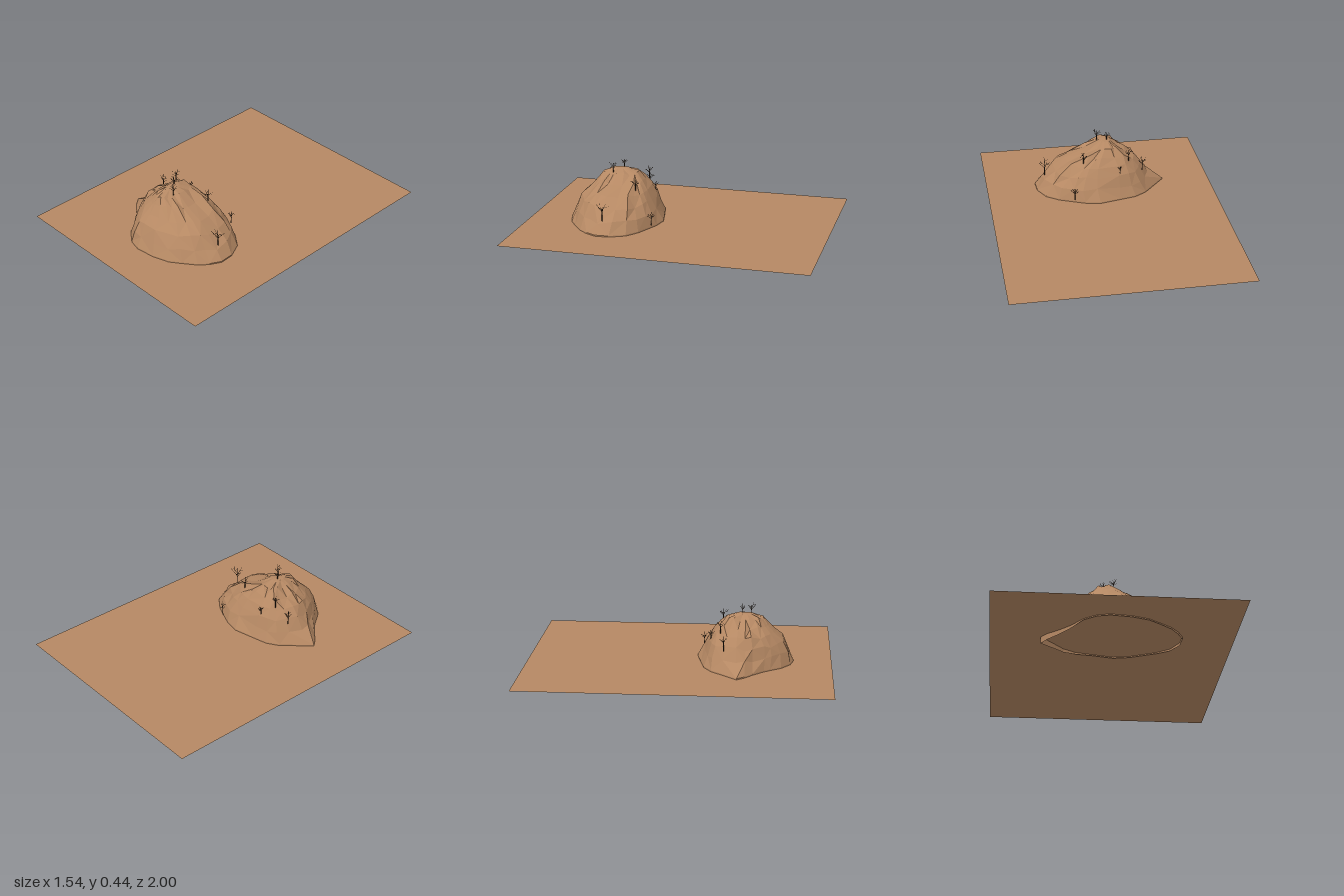
import * as THREE from 'three';

const EARTH = 0xb58863, BARK = 0x3a2b1e;
const GROUND_Y = 0.05;

// Footprint of the hill as [x, z], from the left-hand spur round the back
const FOOT = [
  [-0.45, 0.39], [-0.37, 0.30], [-0.30, 0.22], [-0.22, 0.17], [-0.11, 0.145], [0.03, 0.115],
  [0.13, 0.135], [0.20, 0.165], [0.30, 0.21], [0.38, 0.27], [0.43, 0.37], [0.435, 0.46],
  [0.40, 0.53], [0.35, 0.59], [0.27, 0.65], [0.20, 0.70], [0.09, 0.735], [-0.04, 0.75],
  [-0.12, 0.73], [-0.20, 0.67], [-0.25, 0.60], [-0.28, 0.56], [-0.35, 0.49], [-0.41, 0.44],
];
// Contours: height, min x, max x, min z, max z
const LEVELS = [
  [0.13, -0.35, 0.38, 0.155, 0.72],
  [0.20, -0.295, 0.31, 0.19, 0.685],
  [0.26, -0.25, 0.225, 0.23, 0.625],
  [0.31, -0.18, 0.11, 0.27, 0.58],
  [0.35, -0.12, 0.02, 0.31, 0.55],
  [0.378, -0.08, -0.03, 0.38, 0.48],
];
const PEAK = [-0.055, 0.43];

function seeded(seed) {
  let s = seed;
  return () => (s = (s * 16807) % 2147483647) / 2147483647;
}

function material(color, extra = {}) {
  return new THREE.MeshStandardMaterial({ color, ...extra });
}

// Lower rim dips under the spur and a little at the right end
function rimY(x) {
  if (x < -0.2) return 0.04 - 0.14 * (-0.2 - x);
  return x > 0.3 ? 0.045 - 0.11 * (x - 0.3) : 0.042;
}

function contour([y, x0, x1, z0, z1], k, rand) {
  const fade = Math.min(1, 0.4 + k * 0.2);
  return FOOT.map(([fx, fz]) => {
    const dx = fx - PEAK[0], dz = fz - PEAK[1];
    // footprint shape scaled to this level
    const u = dx / (dx < 0 ? 0.395 : 0.49), v = dz / (dz < 0 ? 0.315 : 0.32);
    // rounded shape: full shoulders at the back, sloping at the front
    const a = Math.atan2(v, u), p = dz < 0 ? 0.65 : 1.05;
    const cu = Math.sign(u) * Math.abs(Math.cos(a)) ** p;
    const cv = Math.sign(v) * Math.abs(Math.sin(a)) ** p;
    const mu = THREE.MathUtils.lerp(u, cu, fade), mv = THREE.MathUtils.lerp(v, cv, fade);
    const j = 0.97 + rand() * 0.06;
    return [
      PEAK[0] + mu * j * (mu < 0 ? PEAK[0] - x0 : x1 - PEAK[0]),
      y + (k < LEVELS.length - 1 ? (rand() - 0.5) * 0.026 : 0),
      PEAK[1] + mv * j * (mv < 0 ? PEAK[1] - z0 : z1 - PEAK[1]),
    ];
  });
}

function hillGeometry() {
  const rand = seeded(71);
  const rings = [
    FOOT.map(([x, z]) => [x, rimY(x), z]),
    FOOT.map(([x, z]) => [x, 0.058, z]),
    ...LEVELS.map((level, k) => contour(level, k, rand)),
  ];
  const n = FOOT.length, index = [];
  for (let r = 0; r < rings.length - 1; r++) {
    for (let i = 0; i < n; i++) {
      const a = r * n + i, b = r * n + (i + 1) % n, c = a + n, d = b + n;
      // alternate the diagonal for a rocky look
      if ((i + r) % 2) index.push(a, c, d, a, d, b);
      else index.push(a, c, b, b, c, d);
    }
  }
  const top = rings.length * n, last = top - n;
  for (let i = 0; i < n; i++) index.push(last + i, top, last + (i + 1) % n);
  const geo = new THREE.BufferGeometry();
  const pos = [...rings.flat(2), PEAK[0], 0.383, PEAK[1]];
  geo.setAttribute('position', new THREE.Float32BufferAttribute(pos, 3));
  geo.setIndex(index);
  geo.computeVertexNormals();
  return geo;
}

// Thin tapered stick between two points
function stick(from, to, r0, r1, mat, name) {
  const dir = to.clone().sub(from);
  const mesh = new THREE.Mesh(new THREE.CylinderGeometry(r1, r0, dir.length(), 5), mat);
  mesh.position.copy(from).addScaledVector(dir, 0.5);
  mesh.quaternion.setFromUnitVectors(new THREE.Vector3(0, 1, 0), dir.normalize());
  mesh.name = name;
  return mesh;
}

function bareTree(height, seed, mat) {
  const tree = new THREE.Group(), rand = seeded(seed);
  const at = (x, y, z) => new THREE.Vector3(x, y, z);
  const fork = at(0, height * 0.5, 0);
  tree.add(stick(at(0, -0.015, 0), fork, 0.0035, 0.0025, mat, 'trunk'));
  tree.add(stick(fork, at(0.004, height, 0.002), 0.0022, 0.0007, mat, 'leader'));
  for (let i = 0; i < 5; i++) {
    const a = i * 2.4 + rand(), reach = height * (0.25 + rand() * 0.15);
    const start = at(0, height * (0.36 + i * 0.06), 0);
    const end = at(Math.cos(a) * reach, height * (0.68 + rand() * 0.25), Math.sin(a) * reach);
    tree.add(stick(start, end, 0.0017, 0.0006, mat, 'branch'));
    const mid = start.clone().lerp(end, 0.5);
    const tip = at(Math.cos(a + 0.8) * reach, end.y * 0.95, Math.sin(a + 0.8) * reach);
    tree.add(stick(mid, tip, 0.001, 0.0005, mat, 'twig'));
  }
  return tree;
}

export function createModel() {
  const model = new THREE.Group();

  // Flat ground sheet
  const ground = new THREE.Mesh(
    new THREE.PlaneGeometry(1.54, 2).rotateX(-Math.PI / 2),
    material(EARTH, { side: THREE.DoubleSide }));
  ground.position.y = GROUND_Y;
  ground.name = 'groundSheet';
  model.add(ground);

  // Rocky hill
  const hill = new THREE.Mesh(hillGeometry(),
    material(EARTH, { flatShading: true, side: THREE.DoubleSide }));
  hill.name = 'hill';
  model.add(hill);

  // Bare trees: x, base y, z, height
  const bark = material(BARK);
  [
    [-0.06, 0.37, 0.41, 0.07], [0.0, 0.35, 0.47, 0.085], [0.12, 0.27, 0.28, 0.09],
    [0.37, 0.14, 0.43, 0.12], [-0.19, 0.29, 0.275, 0.07], [-0.29, 0.2, 0.3, 0.085],
    [-0.12, 0.22, 0.21, 0.06], [0.2, 0.09, 0.15, 0.075],
  ].forEach(([x, y, z, h], i) => {
    const tree = bareTree(h, 11 + i * 37, bark);
    tree.position.set(x, y, z);
    tree.rotation.y = i * 1.3;
    tree.name = 'bareTree';
    model.add(tree);
  });

  return model;
}
